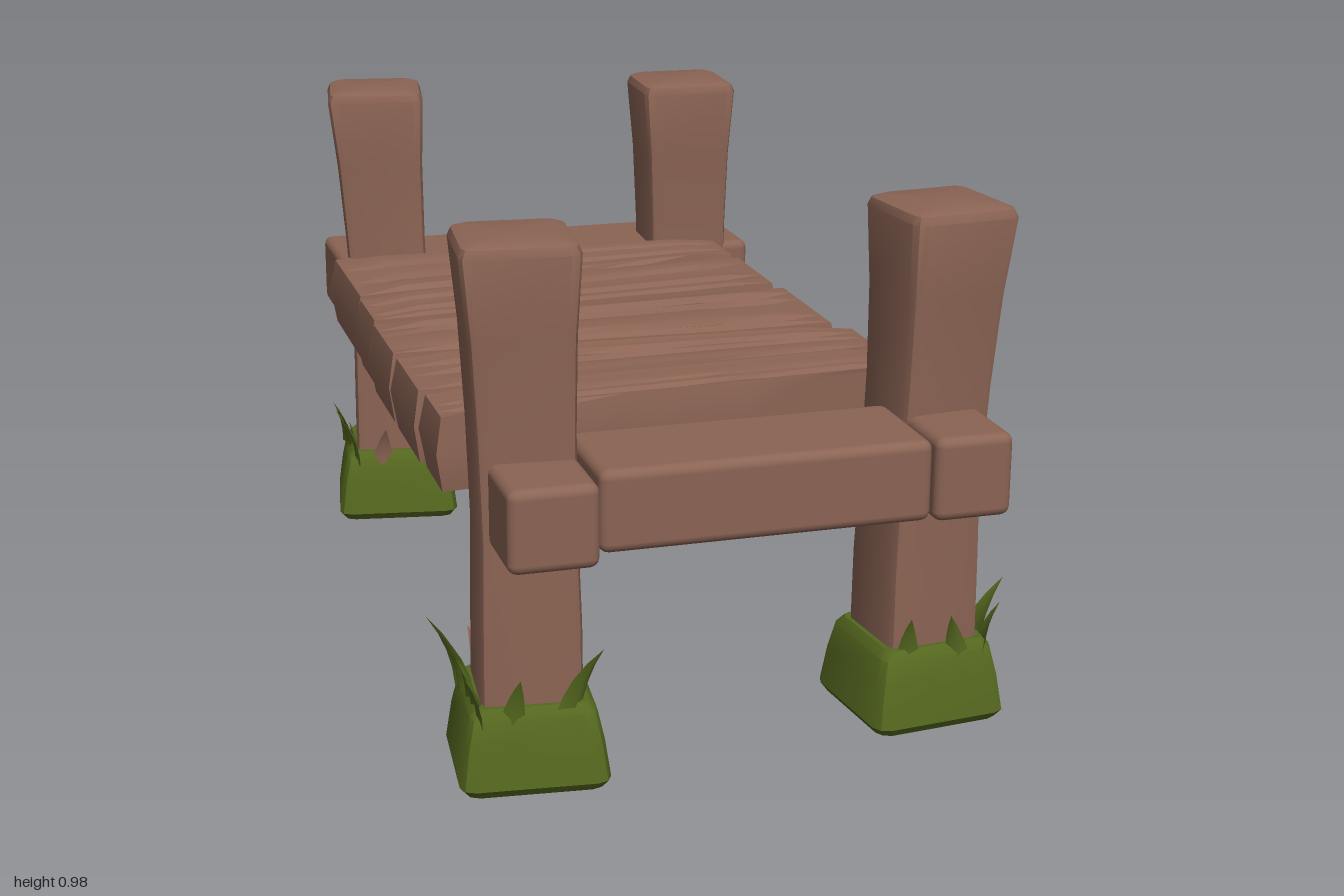
import * as THREE from 'three';
import { toCreasedNormals } from 'three/addons/utils/BufferGeometryUtils.js';
import { RoundedBoxGeometry } from 'three/addons/geometries/RoundedBoxGeometry.js';

const wood = new THREE.MeshStandardMaterial({ color: 0x8b6454, side: THREE.DoubleSide });
wood.name = 'wood brown';
const grass = new THREE.MeshStandardMaterial({ color: 0x55681f, side: THREE.DoubleSide });
grass.name = 'grass green';

// Repeatable value from 0 to 1
const hash = (n) => { const s = Math.sin(n * 12.9898 + 4.1) * 43758.5453; return s - Math.floor(s); };
const mix = THREE.MathUtils.lerp;

function add(parent, geometry, material, name) {
  const mesh = new THREE.Mesh(geometry, material);
  mesh.name = name;
  parent.add(mesh);
  return mesh;
}

// Skins rounded squares; each row is [height, centre x, centre z, half width]
function loft(rows, crease = 0.6) {
  const ring = [];
  for (let c = 0; c < 4; c++) {
    for (let k = 0; k < 3; k++) {
      const a = (c + k / 2) * Math.PI / 2;
      const m = (c + 0.5) * Math.PI / 2;
      ring.push([0.8 * Math.SQRT2 * Math.cos(m) + 0.2 * Math.cos(a), 0.8 * Math.SQRT2 * Math.sin(m) + 0.2 * Math.sin(a)]);
    }
  }
  const pos = [], idx = [], n = ring.length;
  rows.forEach(([y, cx, cz, h], i) => ring.forEach(([x, z], j) => {
    pos.push(cx + x * h, y, cz + z * h);
    if (i === rows.length - 1) return;
    const a = i * n + j, b = i * n + (j + 1) % n;
    idx.push(a, a + n, b, b, a + n, b + n);
  }));
  const g = new THREE.BufferGeometry();
  g.setAttribute('position', new THREE.Float32BufferAttribute(pos, 3));
  g.setIndex(idx);
  return toCreasedNormals(g, crease);
}

// Plank with slanted sides, bevelled rim and shallow grain grooves on top
function plank(left, right, seed) {
  const NX = 8, NZ = 12;
  const g = new THREE.BoxGeometry(1, 1, 1, NX, 2, NZ);
  const p = g.attributes.position;
  const grooves = [2, 3, 4].map((k) => 2 + Math.floor(hash(seed * 7 + k) * (NZ - 3)));
  for (let i = 0; i < p.count; i++) {
    const s = p.getX(i) + 0.5, t = p.getZ(i) + 0.5, v = p.getY(i) + 0.5;
    const col = Math.round(s * NX), row = Math.round(t * NZ);
    const endX = col === 0 || col === NX, endZ = row === 0 || row === NZ;
    let x = mix(left[0], right[0], s);
    let z = mix(mix(left[1], right[1], s), mix(left[2], right[2], s), t);
    let y = mix(0.49, 0.638, v);
    if (v === 0 || v === 1) {
      if (endX) x += s < 0.5 ? 0.012 : -0.012;
      if (endZ) z += t < 0.5 ? 0.01 : -0.01;
    }
    if (endZ && !endX) z += (hash(seed * 31 + col + row * 5) - 0.5) * 0.01;
    if (v === 1) {
      if (endX || endZ) y -= 0.008;
      else if (grooves.includes(row)) y -= 0.012 * (0.3 + hash(col + seed * 3));
      else y += 0.004 * (hash(row * 3 + seed) - 0.5);
    }
    p.setXYZ(i, x, y, z);
  }
  return toCreasedNormals(g, 0.35);
}

// Folded leaf that tapers to a point and bends outward along +z
function blade(width, height, bend) {
  const g = new THREE.PlaneGeometry(1, 1, 2, 4);
  const p = g.attributes.position;
  for (let i = 0; i < p.count; i++) {
    const x = p.getX(i), t = p.getY(i) + 0.5;
    const w = width * (1 - t ** 1.5);
    p.setXYZ(i, x * w, t * height, bend * t * t + (x === 0 ? 0.25 * w : 0));
  }
  g.computeVertexNormals();
  return g;
}

// Post with its grass mound: foot centre, top centre, twist, outward side
function buildPost({ foot, top, twist, side, seed }) {
  const group = new THREE.Group();
  group.name = 'post';
  group.position.set(foot[0], 0, foot[1]);
  const dx = top[0] - foot[0], dz = top[1] - foot[1];
  const post = add(group, loft([
    [0.05, 0, 0, 0.001], [0.05, 0, 0, 0.092], [0.3, 0, 0, 0.09], [0.46, 0.1 * dx, 0.1 * dz, 0.086],
    [0.65, 0.45 * dx, 0.45 * dz, 0.088], [0.82, 0.75 * dx, 0.75 * dz, 0.094],
    [0.965, dx, dz, 0.105], [0.98, dx, dz, 0.099], [0.987, dx, dz, 0.082], [0.987, dx, dz, 0.001],
  ]), wood, 'postTimber');
  post.rotation.y = twist;

  // Mound with a hollow underside
  add(group, loft([
    [0.07, 0, 0, 0.001], [0.07, 0, 0, 0.085], [0.012, 0, 0, 0.115], [0.004, 0, 0, 0.124], [0.02, 0, 0, 0.135],
    [0.09, 0, 0, 0.125], [0.145, 0, 0, 0.113], [0.162, 0, 0, 0.1], [0.157, 0, 0, 0.001],
  ]), grass, 'grassMound').rotation.y = twist;

  // Leaves on the outer side, with a few at the ends and dry ones inside
  for (let i = 0; i < 9; i++) {
    const r = hash(seed * 17 + i), dry = i >= 7;
    const holder = new THREE.Group();
    holder.name = dry ? 'dryLeaf' : 'grassLeaf';
    const along = i < 5 ? (i - 2) * 0.043 : (i % 2 ? -0.05 : 0.05);
    holder.rotation.y = i < 5 ? side * Math.PI / 2 : (dry ? Math.PI : 0) + (foot[1] < 0 ? Math.PI : 0);
    group.add(holder);
    const leaf = add(holder, blade(0.04 + 0.015 * r, dry ? 0.09 : 0.08 + 0.065 * r, 0.02 + 0.04 * r), dry ? wood : grass, 'leaf');
    leaf.position.set(along, 0.135, 0.1);
    leaf.rotation.set(0, (r - 0.5) * 0.8, (hash(seed + i * 5) - 0.5) * 0.7);
  }
  return group;
}

export function createModel() {
  const model = new THREE.Group();
  model.name = 'woodenBridge';
  const bridge = new THREE.Group();
  bridge.name = 'bridge';
  bridge.rotation.y = Math.PI / 6;
  model.add(bridge);

  // Corner posts
  [
    { foot: [-0.325, -0.745], top: [-0.35, -0.775], twist: -0.16, side: -1, seed: 1 },
    { foot: [0.35, -0.685], top: [0.35, -0.695], twist: -0.05, side: 1, seed: 2 },
    { foot: [-0.36, 0.68], top: [-0.37, 0.662], twist: -0.1, side: -1, seed: 3 },
    { foot: [0.405, 0.625], top: [0.43, 0.63], twist: 0.1, side: 1, seed: 4 },
  ].forEach((o) => bridge.add(buildPost(o)));

  // Deck: [x, back z, front z] at the left and right end of each plank
  [
    [[-0.485, -0.625, -0.285], [0.4, -0.567, -0.41]],
    [[-0.49, -0.275, -0.095], [0.405, -0.4, -0.152]],
    [[-0.497, -0.08, 0.145], [0.415, -0.128, 0.176]],
    [[-0.497, 0.16, 0.392], [0.44, 0.205, 0.348]],
    [[-0.49, 0.4, 0.56], [0.455, 0.36, 0.517]],
  ].forEach(([l, r], i) => add(bridge, plank(l, r, i + 1), wood, 'deckPlank'));

  // Cross beams and short beam ends: x range, z range, y range
  [
    ['backBeam', -0.33, 0.49, -0.87, -0.605, 0.46, 0.612],
    ['frontBeam', -0.27, 0.335, 0.625, 0.855, 0.46, 0.61],
    ['beamEnd', -0.45, -0.3, -0.925, -0.64, 0.46, 0.612],
    ['beamEnd', -0.44, -0.28, 0.62, 0.9, 0.455, 0.606],
    ['beamEnd', 0.34, 0.487, 0.59, 0.857, 0.456, 0.611],
  ].forEach(([name, x0, x1, z0, z1, y0, y1]) => {
    const beam = add(bridge, new RoundedBoxGeometry(x1 - x0, y1 - y0, z1 - z0, 2, 0.018), wood, name);
    beam.position.set((x0 + x1) / 2, (y0 + y1) / 2, (z0 + z1) / 2);
  });
  return model;
}
